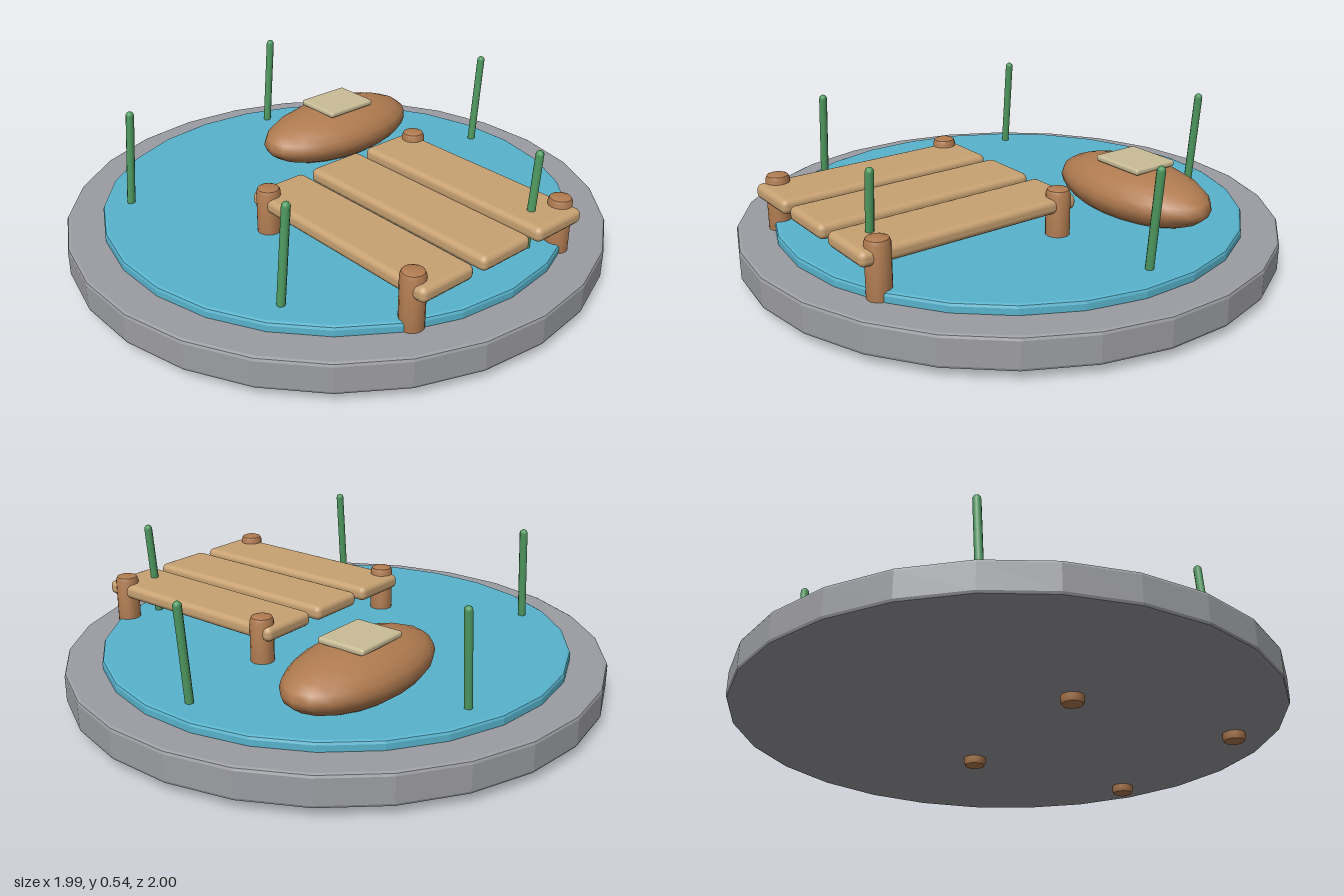
import * as THREE from 'three';
import { RoundedBoxGeometry } from 'three/addons/geometries/RoundedBoxGeometry.js';
import { toCreasedNormals } from 'three/addons/utils/BufferGeometryUtils.js';

const paint = (name, color) => {
  const m = new THREE.MeshStandardMaterial({ color });
  m.name = name;
  return m;
};

// Solid disc or post with rounded rims, from y0 to y1
function roundedDisc(radius, y0, y1, bevel, sides, crease) {
  const points = [new THREE.Vector2(0, y0)];
  for (const [yc, from] of [[y0 + bevel, -90], [y1 - bevel, 0]]) {
    for (let i = 0; i <= 2; i++) {
      const a = THREE.MathUtils.degToRad(from + i * 45);
      points.push(new THREE.Vector2(radius - bevel + Math.cos(a) * bevel, yc + Math.sin(a) * bevel));
    }
  }
  points.push(new THREE.Vector2(0, y1));
  return toCreasedNormals(new THREE.LatheGeometry(points, sides), crease);
}

export function createModel() {
  const stone = paint('stone grey', 0x9c9da2);
  const blue = paint('water blue', 0x58b3cc);
  const wood = paint('light wood', 0xc8a273);
  const brown = paint('brown', 0xb07b50);
  const green = paint('reed green', 0x4f9a60);
  const cream = paint('cream', 0xc9bc96);

  const model = new THREE.Group();
  model.name = 'pond';
  const add = (name, geometry, material, x = 0, y = 0, z = 0) => {
    const mesh = new THREE.Mesh(geometry, material);
    mesh.name = name;
    mesh.position.set(x, y, z);
    model.add(mesh);
    return mesh;
  };

  // Faceted stone base and the water on it
  add('stoneBase', roundedDisc(1, 0.035, 0.15, 0.012, 26, 0.2), stone);
  add('water', roundedDisc(0.866, 0.14, 0.185, 0.012, 26, 0.2), blue);

  // Jetty: three planks and four posts that run through the base
  for (const x of [-0.27, 0, 0.27]) {
    add('plank', new RoundedBoxGeometry(0.23, 0.055, 0.845, 2, 0.022), wood, x, 0.297, 0.412);
  }
  const postGeometry = roundedDisc(0.043, 0, 0.355, 0.018, 16, 0.6);
  for (const x of [-0.355, 0.355]) {
    for (const z of [0.05, 0.76]) add('post', postGeometry, brown, x, 0, z);
  }

  // Oval mound with a pale slab on top
  add('mound', new THREE.SphereGeometry(1, 20, 12), brown, 0.31, 0.252, -0.35).scale.set(0.352, 0.107, 0.187);
  add('slab', new RoundedBoxGeometry(0.22, 0.024, 0.19, 2, 0.01), cream, 0.313, 0.36, -0.35);

  // Five reeds in a ring, all leaning the same way
  const reedGeometry = new THREE.CapsuleGeometry(0.015, 0.34, 4, 10);
  for (let i = 0; i < 5; i++) {
    const a = (i / 5) * Math.PI * 2;
    const reed = add('reed', reedGeometry, green, 0.762 * Math.cos(a) + 0.012, 0.358, 0.762 * Math.sin(a));
    reed.rotation.z = -0.085;
  }
  return model;
}
